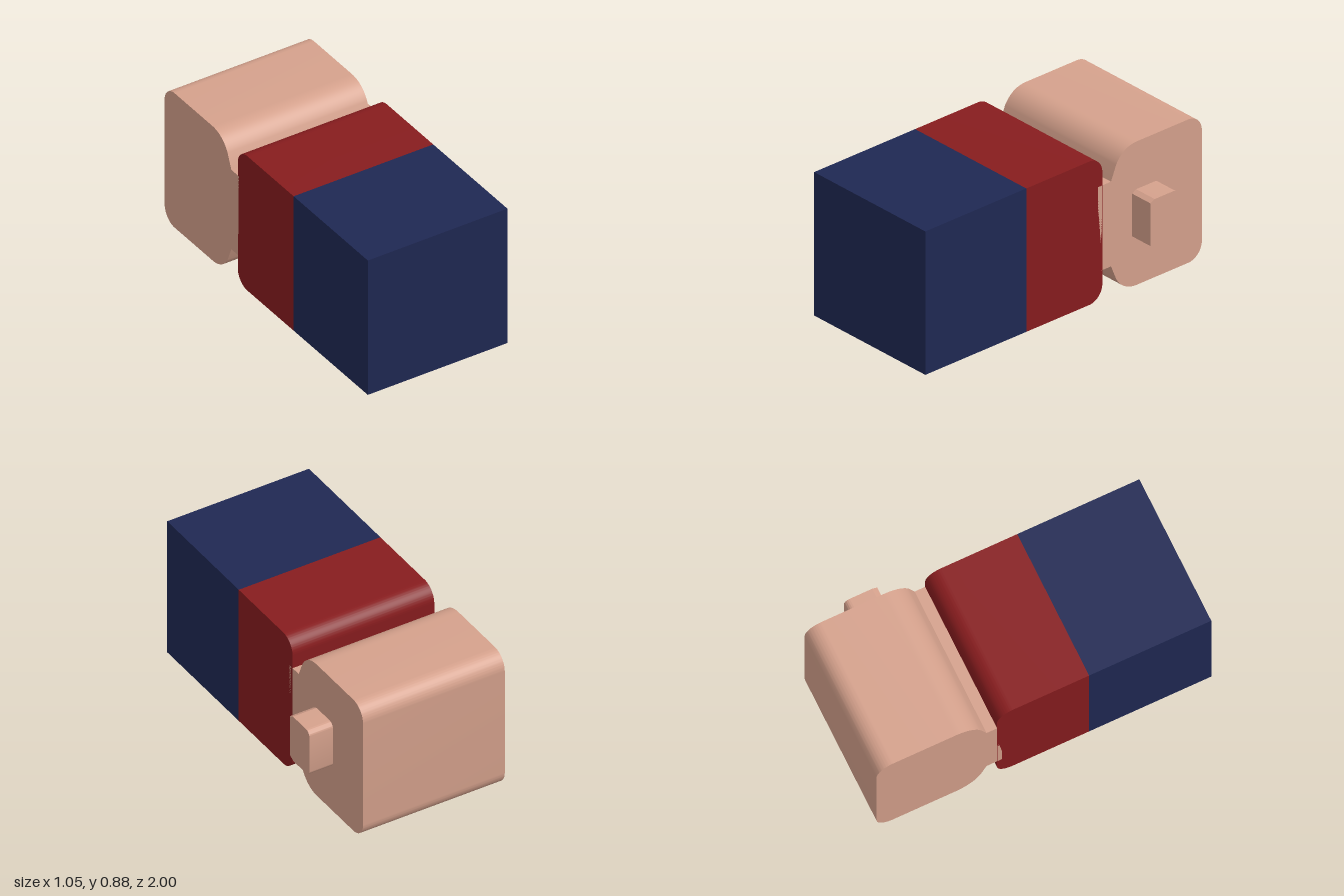
import * as THREE from 'three';
import { toCreasedNormals } from 'three/addons/utils/BufferGeometryUtils.js';

const LEFT = 0.375, RIGHT = -0.525, TOP = 0.88;

// Side profile (u = -z, v = y) extruded along x between x0 and x1
function sidePart(name, shape, x0, x1, color) {
  let geometry = new THREE.ExtrudeGeometry(shape, {
    depth: x1 - x0, bevelEnabled: false, curveSegments: 12,
  });
  geometry.rotateY(Math.PI / 2).translate(x0, 0, 0);
  geometry = toCreasedNormals(geometry, 0.4);
  const mesh = new THREE.Mesh(geometry, new THREE.MeshStandardMaterial({ color }));
  mesh.name = name;
  return mesh;
}

// Continues a profile up a back edge with two rounded corners of radius r
function roundedBack(shape, u, bottom, top, r) {
  shape.lineTo(u - r, bottom);
  shape.absarc(u - r, bottom + r, r, -Math.PI / 2, 0, false);
  shape.lineTo(u, top - r);
  shape.absarc(u - r, top - r, r, 0, Math.PI / 2, false);
}

export function createModel() {
  const group = new THREE.Group();
  group.name = 'arm';
  const navy = 0x1f2853, red = 0x871c1e, skin = 0xd5a18c;

  // Sleeve: plain block at the front
  const sleeve = new THREE.Mesh(
    new THREE.BoxGeometry(LEFT - RIGHT, TOP, 0.73),
    new THREE.MeshStandardMaterial({ color: navy }),
  );
  sleeve.name = 'sleeve';
  sleeve.position.set((LEFT + RIGHT) / 2, TOP / 2, 0.635);
  group.add(sleeve);

  // Cuff: block with rounded rear edges
  const cuff = new THREE.Shape();
  cuff.moveTo(-0.27, 0);
  roundedBack(cuff, 0.28, 0, TOP, 0.095);
  cuff.lineTo(-0.27, TOP);
  cuff.closePath();
  group.add(sidePart('cuff', cuff, RIGHT, LEFT, red));

  // Hand: narrow wrist flaring into a rounded fist
  const hand = new THREE.Shape();
  hand.moveTo(0.25, 0.18);
  hand.lineTo(0.343, 0.18);
  hand.lineTo(0.38, 0.09);
  hand.bezierCurveTo(0.41, 0.035, 0.46, 0, 0.53, 0);
  roundedBack(hand, 1, 0, TOP, 0.1);
  hand.lineTo(0.53, TOP);
  hand.bezierCurveTo(0.46, TOP, 0.41, 0.845, 0.38, 0.79);
  hand.lineTo(0.343, 0.7);
  hand.lineTo(0.25, 0.7);
  hand.closePath();
  group.add(sidePart('hand', hand, RIGHT, LEFT, skin));

  // Thumb: small stub on the left side
  const thumb = new THREE.Shape();
  thumb.moveTo(0.495, 0.31);
  thumb.lineTo(0.53, 0.292);
  roundedBack(thumb, 0.693, 0.292, 0.588, 0.035);
  thumb.lineTo(0.525, 0.588);
  thumb.lineTo(0.495, 0.572);
  thumb.closePath();
  group.add(sidePart('thumb', thumb, LEFT - 0.02, 0.525, skin));

  return group;
}
